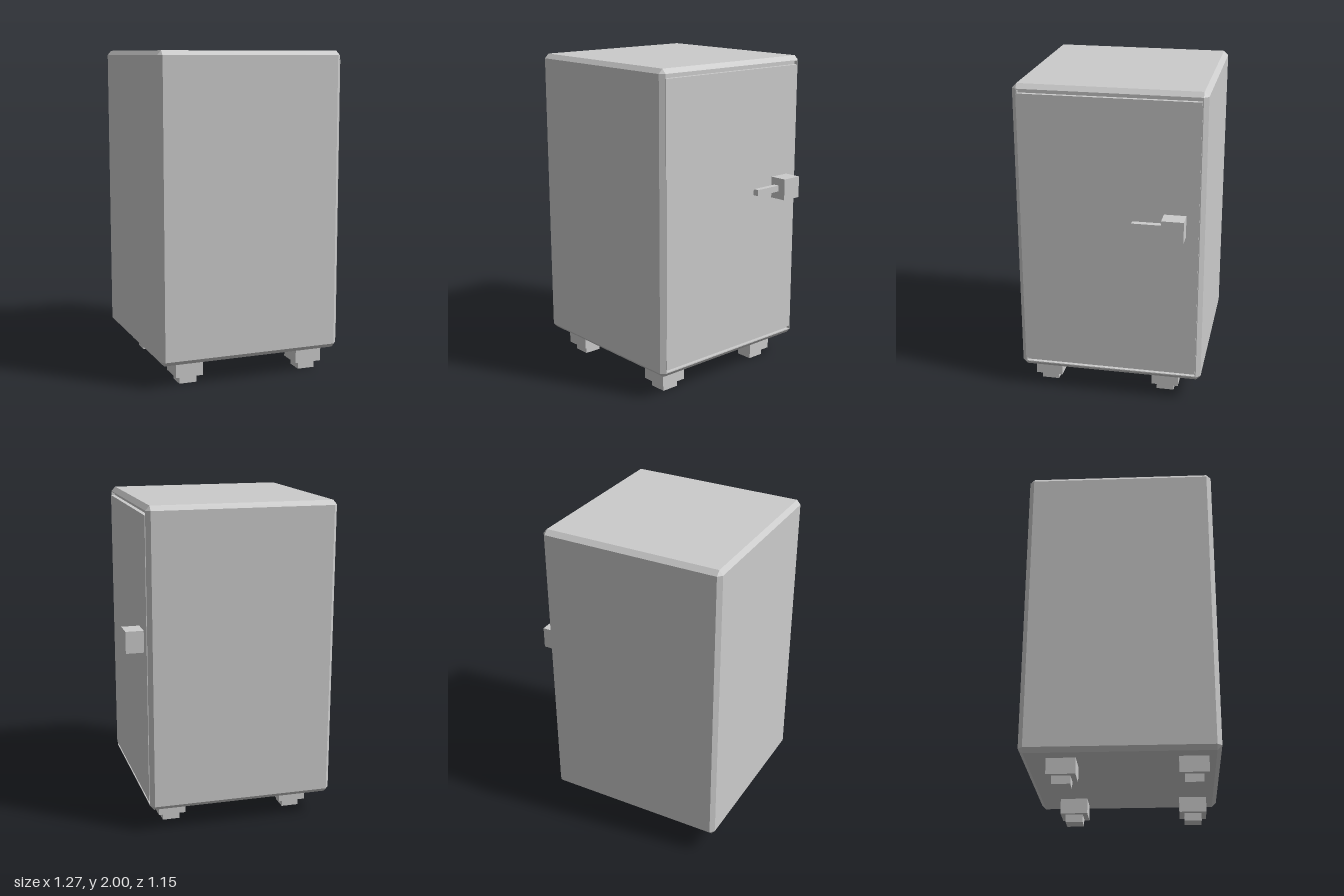
import * as THREE from 'three';

const material = new THREE.MeshStandardMaterial({ color: 0xcccccc, flatShading: true });

// Box given by its lower and upper corners
function box(name, [x0, y0, z0], [x1, y1, z1]) {
  const mesh = new THREE.Mesh(new THREE.BoxGeometry(x1 - x0, y1 - y0, z1 - z0), material);
  mesh.position.set((x0 + x1) / 2, (y0 + y1) / 2, (z0 + z1) / 2);
  mesh.name = name;
  return mesh;
}

// Cabinet cross-section at x: a rectangle with cut corners, counter-clockwise seen from +x
function section(x, inset, cut) {
  const y0 = 0.145 + inset, y1 = 2 - inset, z0 = -0.578 + inset, z1 = 0.576 - inset;
  return [
    [y1, z0 + cut], [y1, z1 - cut], [y1 - cut, z1], [y0 + cut, z1],
    [y0, z1 - cut], [y0, z0 + cut], [y0 + cut, z0], [y1 - cut, z0],
  ].map(([y, z]) => [x, y, z]);
}

// Join the sections along x and close both ends
function loft(sections) {
  const points = [];
  const n = sections[0].length;
  for (let s = 0; s < sections.length - 1; s++) {
    const a = sections[s], b = sections[s + 1];
    for (let i = 0; i < n; i++) {
      const j = (i + 1) % n;
      points.push(a[i], a[j], b[j], a[i], b[j], b[i]);
    }
  }
  const first = sections[0], last = sections[sections.length - 1];
  for (let i = 1; i < n - 1; i++) {
    points.push(first[0], first[i + 1], first[i]);
    points.push(last[0], last[i], last[i + 1]);
  }
  const geometry = new THREE.BufferGeometry();
  geometry.setAttribute('position', new THREE.Float32BufferAttribute(points.flat(), 3));
  geometry.computeVertexNormals();
  return geometry;
}

export function createModel() {
  const model = new THREE.Group();
  model.name = 'safe';

  // Bevelled cabinet with a shallow recess for the door
  const cabinet = new THREE.Mesh(loft([
    section(-0.638, 0.028, 0),
    section(-0.614, 0, 0.028),
    section(0.497, 0, 0.028),
    section(0.522, 0.028, 0),
    section(0.522, 0.034, 0),
    section(0.5, 0.034, 0),
  ]), material);
  cabinet.name = 'cabinet';
  model.add(cabinet);

  // Door, a hair proud of the frame
  model.add(box('door', [0.49, 0.2, -0.544], [0.526, 1.945, 0.548]));

  // Handle: block and lever
  const handle = new THREE.Group();
  handle.name = 'handle';
  handle.add(
    box('handleBlock', [0.52, 1.122, -0.468], [0.636, 1.256, -0.334]),
    box('handleLever', [0.55, 1.171, -0.34], [0.587, 1.209, -0.148]),
  );
  model.add(handle);

  // Four stepped feet
  for (const x of [-0.44, 0.355]) {
    for (const z of [-0.342, 0.419]) {
      const foot = new THREE.Group();
      foot.name = 'foot';
      foot.add(
        box('footBlock', [x - 0.086, 0.049, z - 0.086], [x + 0.086, 0.15, z + 0.086]),
        box('footPad', [x - 0.055, 0, z - 0.055], [x + 0.055, 0.052, z + 0.055]),
      );
      model.add(foot);
    }
  }
  return model;
}
